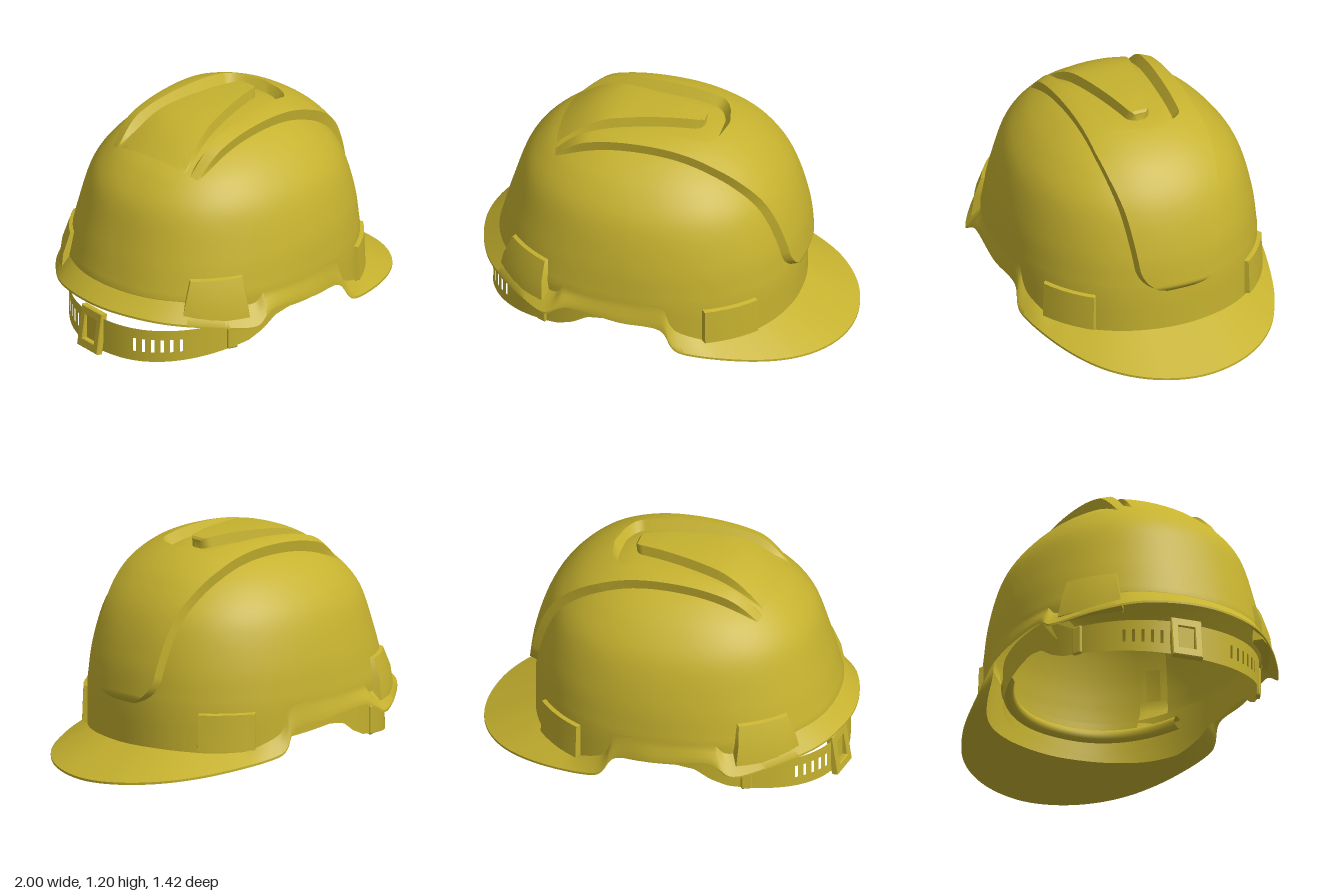
import * as THREE from 'three';
import { toCreasedNormals } from 'three/addons/utils/BufferGeometryUtils.js';
import { RoundedBoxGeometry } from 'three/addons/geometries/RoundedBoxGeometry.js';

const { lerp, clamp, smoothstep } = THREE.MathUtils;
const CX = -0.08; // dome axis

// Grid surface from fn(i, j); skip(i, j) leaves holes
function grid(nu, nv, fn, skip = () => false) {
  const pos = [], idx = [];
  for (let j = 0; j <= nv; j++) for (let i = 0; i <= nu; i++) pos.push(...fn(i, j));
  for (let j = 0; j < nv; j++) for (let i = 0; i < nu; i++) {
    if (skip(i, j)) continue;
    const a = j * (nu + 1) + i, b = a + 1, c = a + nu + 1, d = c + 1;
    idx.push(a, b, c, b, d, c);
  }
  const g = new THREE.BufferGeometry();
  g.setAttribute('position', new THREE.Float32BufferAttribute(pos, 3));
  g.setIndex(idx);
  g.computeVertexNormals();
  return g;
}

// Piecewise linear lookup
function lookup(table, x) {
  for (let i = 1; i < table.length; i++) {
    const [x0, y0] = table[i - 1], [x1, y1] = table[i];
    if (x <= x1) return lerp(y0, y1, clamp((x - x0) / (x1 - x0), 0, 1));
  }
  return table[table.length - 1][1];
}

// Dome profile from crown to base: (fraction of plan radius, height)
const profile = new THREE.CatmullRomCurve3(
  [[0, 1.142], [0.2, 1.136], [0.4, 1.112], [0.57, 1.055], [0.73, 0.965], [0.87, 0.83], [0.965, 0.6], [1, 0.4]]
    .map(([s, y]) => new THREE.Vector3(s, y, 0)));
const fractionAt = profile.getPoints(80).map(p => [p.y, p.x]).reverse();

// Plan radius of the dome in a given direction; the back leans in slightly
function planRadius(a, y) {
  const ca = Math.cos(a), c = Math.abs(ca) / (ca > 0 ? 0.79 : 0.83), s = Math.abs(Math.sin(a)) / 0.688;
  const lean = 0.03 * Math.max(0, -ca) * Math.sin(Math.PI * clamp((y - 0.4) / 0.6, 0, 1));
  return Math.pow(c ** 2.2 + s ** 2.2, -1 / 2.2) - lean;
}

// Dome point for a direction and height, pushed out by grow
function domeAt(a, y, grow) {
  const r = planRadius(a, y) * lookup(fractionAt, y) + grow;
  return [CX + r * Math.cos(a), y, r * Math.sin(a)];
}

// Dome point where a ray at angle phi, in the plane of constant z, leaves the dome
function domeRay(phi, z, lift) {
  let lo = 0, hi = 1.2, x, y;
  for (let k = 0; k < 24; k++) {
    const r = (lo + hi) / 2;
    x = CX + r * Math.cos(phi);
    y = 0.35 + r * Math.sin(phi);
    const reach = planRadius(Math.atan2(z, x - CX), y) * lookup(fractionAt, y);
    if (y > 1.142 || Math.hypot(x - CX, z) > reach) hi = r; else lo = r;
  }
  const n = new THREE.Vector3(x - CX, y - 0.35, z).normalize();
  return [x + n.x * lift, y + n.y * lift, z + n.z * lift];
}

// Raised strip over the crown; section(x, y) lists [z, lift] from the outer edge to the middle
function raised(phi0, phi1, n, section) {
  const rows = Array.from({ length: n + 1 }, (_, j) => {
    const phi = lerp(phi0, phi1, Math.pow(j / n, 1.2)), [x, y] = domeRay(phi, 0, 0);
    const side = section(x, y), all = [...side, ...side.slice(0, -1).reverse().map(([z, l]) => [-z, l])];
    return all.map(([z, l]) => domeRay(phi, z, l));
  });
  return toCreasedNormals(grid(rows[0].length - 1, n, (i, j) => rows[j][i]), 0.6);
}
const arc = t => Math.sqrt(Math.max(0, 1 - t * t));

// Forehead panel that divides into two ridges round a recess
function panelSection(x, y) {
  let w = x > 0 ? lerp(0.245, 0.312, clamp((y - 0.5) / 0.58, 0, 1)) : 0.312;
  if (x > 0 && y < 0.54) w *= Math.max(0.45, arc((0.54 - y) / 0.17));
  let rw = lerp(0.175, 0.235, clamp((0.19 - x) / 0.77, 0, 1));
  if (x > 0.2) rw *= arc((x - 0.2) / 0.08);
  const high = smoothstep(y, 0.8, 1.08);
  const h = lerp(-0.01, lerp(0.038, 0.056, high), smoothstep(y, 0.365, 0.425) * smoothstep(x, -0.66, -0.38));
  const floor = lerp(h, -0.01, clamp(rw / 0.08, 0, 1));
  const top = Array.from({ length: 7 }, (_, k) => [lerp(w - lerp(0.03, 0.014, high), rw + 0.02, k / 6), h]);
  return [[w, -0.01], ...top, [rw, floor], [rw / 2, floor], [0, floor]];
}

// Tapered tongue in the middle of the recess
function tongueSection(x) {
  let w = lerp(0.06, 0.235, clamp((0.19 - x) / 0.77, 0, 1));
  if (x > 0.14) w *= Math.max(0.2, arc((x - 0.14) / 0.05));
  const h = lerp(-0.01, 0.055, smoothstep(x, -0.7, -0.25) * (1 - smoothstep(x, 0.165, 0.19)));
  const inner = Math.max(w - 0.018, w * 0.6);
  return [[w, -0.01], ...[1, 0.75, 0.5, 0.25, 0].map(t => [inner * t, h])];
}

// Lower rim, from the peak tip round to the back
const half = [[1, 0.0, 0], [0.95, 0.012, 0.25], [0.8, 0.035, 0.46], [0.55, 0.07, 0.61], [0.22, 0.13, 0.705],
  [0.18, 0.16, 0.705], [0.12, 0.245, 0.692], [-0.1, 0.275, 0.712], [-0.4, 0.3, 0.69], [-0.45, 0.28, 0.692],
  [-0.52, 0.24, 0.69], [-0.75, 0.27, 0.53], [-0.92, 0.295, 0.33], [-1, 0.305, 0]];
const mirrored = half.slice(1, -1).reverse().map(([x, y, z]) => [x, y, -z]);
const rimCurve = new THREE.CatmullRomCurve3([...half, ...mirrored].map(p => new THREE.Vector3(...p)), true);

// Dome, peak and lining as one continuous sheet
function shellGeometry() {
  const N = 320, DOME = 40, INNER = 28;
  const rim = rimCurve.getSpacedPoints(N);
  const dome = profile.getPoints(DOME), inside = profile.getPoints(INNER).reverse();
  const cols = rim.map(p => {
    const a = Math.atan2(p.z, p.x - CX);
    const at = (s, y) => {
      const r = planRadius(a, y) * s;
      return [CX + r * Math.cos(a), y, r * Math.sin(a)];
    };
    const d = Math.max(0, Math.hypot(p.x - CX, p.z) - planRadius(a, 0.4));
    const flush = 0.08 * (1 - smoothstep(d, 0.02, 0.09));
    const footY = Math.min(0.395, p.y + 0.03 + flush + d * lerp(0.9, 0.44, smoothstep(p.x, -0.3, 0.4)));
    const foot = at(1, footY), edge = [p.x, p.y + 0.012, p.z];
    const col = dome.map(q => at(q.x, q.y));
    col.push(at(1, lerp(0.4, footY, 0.5)), foot);
    for (const t of [0.33, 0.67, 1]) col.push(foot.map((v, i) => lerp(v, edge[i], t)));
    col.push([p.x, p.y, p.z], at(0.975, footY - 0.02));
    for (const q of inside) col.push(at(q.x * 0.975, 0.4 + (q.y - 0.4) * 0.975));
    return col;
  });
  return toCreasedNormals(grid(N, cols[0].length - 1, (i, j) => cols[i][j]), 0.6);
}

// Accessory slot cover that follows the dome, from top depth to bottom depth
function slotGeometry(a0, a1, y0, y1, top, bottom, taper) {
  const us = [0, 0.03, 0.2, 0.4, 0.6, 0.8, 0.97, 1], vs = [0, 0.04, 0.5, 0.96, 1];
  return toCreasedNormals(grid(7, 4, (i, j) => {
    const v = vs[j], border = i === 0 || i === 7 || j === 0 || j === 4;
    const u = lerp(us[i], 0.5, taper * (1 - v));
    return domeAt(lerp(a0, a1, u), lerp(y1, y0, v), border ? -0.01 : lerp(top, bottom, v));
  }), 0.6);
}

// Headband outline and heights along x
const bandLow = [[-0.95, 0.025], [-0.47, 0.11], [-0.38, 0.15], [-0.3, 0.205], [-0.2, 0.22], [0.2, 0.17], [0.61, 0.14]];
const bandHigh = [[-0.95, 0.215], [-0.53, 0.25], [-0.35, 0.36], [0.2, 0.36], [0.61, 0.32]];
function bandPoint(a, v, grow = 0) {
  const s = Math.sin(a), x = -0.17 + (0.78 + grow) * Math.cos(a);
  const z = (0.62 + grow) * Math.sign(s) * Math.abs(s) ** 0.88;
  return [x, lerp(lookup(bandLow, x), lookup(bandHigh, x), v), z];
}
const bandFacing = a => Math.atan2(0.62 * Math.cos(a), 0.78 * Math.sin(a));

export function createModel() {
  const group = new THREE.Group();
  const yellow = new THREE.MeshStandardMaterial({ color: 0xc6b22f, side: THREE.DoubleSide });
  yellow.name = 'mustard yellow';
  const add = (name, geometry, parent = group) => {
    const m = new THREE.Mesh(geometry, yellow);
    m.name = name;
    parent.add(m);
    return m;
  };

  add('shell', shellGeometry());
  add('crownRidges', raised(0.025, 2.28, 110, panelSection));
  add('crownTongue', raised(1.22, 2.3, 50, tongueSection));

  // Accessory slots on both sides
  for (const side of [1, -1]) {
    add('frontSlot', slotGeometry(side * 0.58, side * 0.99, 0.16, 0.37, 0.022, 0.03, 0));
    add('backSlot', slotGeometry(side * 2.17, side * 2.64, 0.285, 0.52, 0.018, 0.05, 0.2));
  }

  // Headband with adjustment slots at the back
  const NB = 240, rows = [0, 0.3, 0.7, 1];
  add('headband', grid(NB, 3, (i, j) => bandPoint(-i / NB * Math.PI * 2, 1 - rows[j]), (i, j) => {
    const off = Math.abs(i + 0.5 - NB / 2);
    return j === 1 && off > 7 && off < 26 && Math.floor(off) % 3 === 0;
  }));

  // Sweat pad inside the forehead
  const pad = Array.from({ length: 25 }, (_, i) =>
    new THREE.Vector3(...bandPoint(lerp(-1, 1, i / 24), 0.5, -0.025)));
  add('sweatPad', new THREE.TubeGeometry(new THREE.CatmullRomCurve3(pad), 48, 0.035, 8));

  // Buckle frame on the nape strap
  const frame = new THREE.Shape();
  frame.moveTo(-0.08, -0.11).lineTo(0.08, -0.11).lineTo(0.08, 0.11).lineTo(-0.08, 0.11).closePath();
  const hole = new THREE.Path();
  hole.moveTo(-0.05, -0.07).lineTo(-0.05, 0.07).lineTo(0.05, 0.07).lineTo(0.05, -0.07).closePath();
  frame.holes.push(hole);
  const buckle = add('buckle', new THREE.ExtrudeGeometry(frame,
    { depth: 0.03, bevelEnabled: true, bevelSize: 0.005, bevelThickness: 0.005, bevelSegments: 1 }));
  const napeAngle = Math.PI + 0.13;
  buckle.position.set(...bandPoint(napeAngle, 0.5, -0.015));
  buckle.rotation.set(-0.15, bandFacing(napeAngle), 0, 'YXZ');

  // Strap keepers where the nape strap joins the headband
  for (const a of [2.1, -2.1]) {
    const keeper = add('strapKeeper', new RoundedBoxGeometry(0.06, 0.16, 0.025, 2, 0.01));
    keeper.position.set(...bandPoint(a, 0.5));
    keeper.rotation.y = bandFacing(a);
  }

  // Suspension straps rising from the headband over the crown
  const cradle = new THREE.Group();
  cradle.name = 'cradle';
  group.add(cradle);
  for (const a of [0.75, 2.0, -0.75, -2.0]) {
    const foot = bandPoint(a, 0.7, -0.01);
    add('cradleStrap', grid(4, 25, (i, j) => {
      const q = profile.getPoint(Math.min(1, j / 24)), r = planRadius(a, q.y) * 0.92 * q.x;
      const w = (i / 4 - 0.5) * 0.15;
      const c = j === 25 ? foot : [CX + r * Math.cos(a), 0.38 + (q.y - 0.38) * 0.93, r * Math.sin(a)];
      return [c[0] - Math.sin(a) * w, c[1], c[2] + Math.cos(a) * w];
    }, (i, j) => (i === 1 || i === 2) && j > 19 && j < 23), cradle);
  }
  return group;
}
